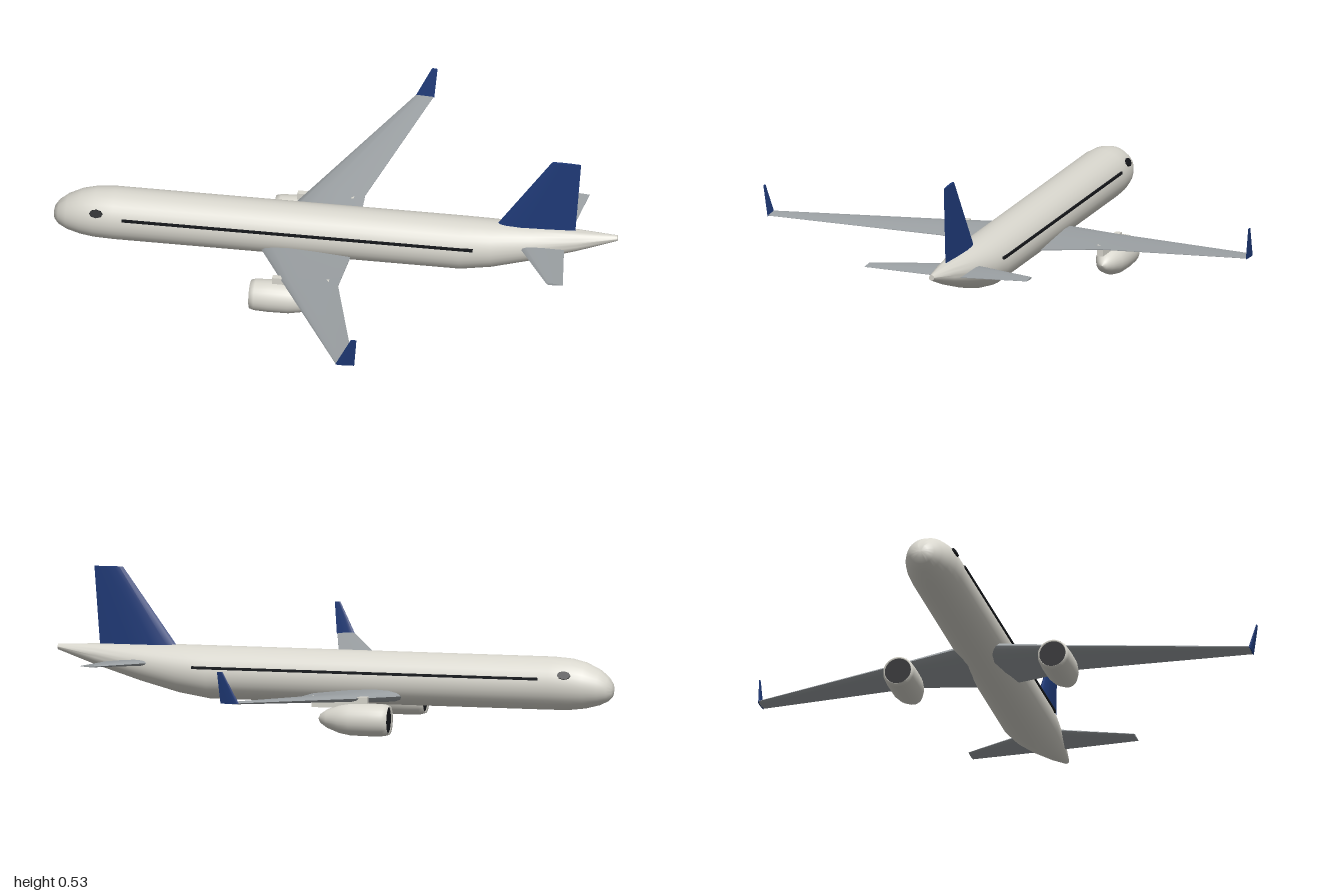
import * as THREE from 'three';
import { toCreasedNormals } from 'three/addons/utils/BufferGeometryUtils.js';

const mat = (name, color) => new THREE.MeshStandardMaterial({ name, color });

// Skin a closed surface over equal-length rings of [x, y, z]; winding is turned outward.
function loft(rings, crease = 0.7) {
  const n = rings[0].length, pos = rings.flat(2), idx = [];
  for (let r = 0; r < rings.length - 1; r++) {
    for (let i = 0; i < n; i++) {
      const a = r * n + i, b = r * n + (i + 1) % n;
      idx.push(a, b, a + n, b, b + n, a + n);
    }
  }
  const last = (rings.length - 1) * n;
  for (let i = 1; i < n - 1; i++) idx.push(0, i + 1, i, last, last + i, last + i + 1);
  const p = (i) => new THREE.Vector3().fromArray(pos, i * 3);
  let volume = 0;
  for (let i = 0; i < idx.length; i += 3) volume += p(idx[i]).dot(p(idx[i + 1]).cross(p(idx[i + 2])));
  if (volume < 0) idx.reverse();
  const geo = new THREE.BufferGeometry();
  geo.setAttribute('position', new THREE.Float32BufferAttribute(pos, 3));
  geo.setIndex(idx);
  return toCreasedNormals(geo, crease);
}

// Aerofoil outline as [chord fraction, thickness fraction]
const upper = [[0.03, 0.25], [0.12, 0.43], [0.3, 0.5], [0.6, 0.36]];
const FOIL = [[0, 0], ...upper, [1, 0.04], [1, -0.04],
  ...upper.slice().reverse().map(([c, t]) => [c, -t])];

// Horizontal section (wing, tailplane) and upright section (fin, winglet)
const flatFoil = (x0, x1, y, z, t) => FOIL.map(([c, h]) => [x0 + c * (x1 - x0), y + h * t, z]);
const uprightFoil = (x0, x1, y, z, t) => FOIL.map(([c, h]) => [x0 + c * (x1 - x0), y, z + h * t]);

export function createModel() {
  const model = new THREE.Group();
  model.name = 'airliner';
  const white = mat('fuselage white', 0xd9d7ce);
  const grey = mat('wing grey', 0x9ca1a4);
  const blue = mat('tail blue', 0x1f3a78);
  const dark = mat('dark glass', 0x15171b);
  const add = (name, geo, material, parent = model) => {
    const mesh = new THREE.Mesh(geo, material);
    mesh.name = name;
    parent.add(mesh);
    return mesh;
  };

  // Fuselage stations: x, top, bottom, half width
  const stations = [
    [-1, 0.153, 0.147, 0.003], [-0.995, 0.176, 0.127, 0.025], [-0.98, 0.197, 0.111, 0.045],
    [-0.95, 0.221, 0.096, 0.064], [-0.9, 0.245, 0.083, 0.081], [-0.85, 0.257, 0.077, 0.09],
    [-0.78, 0.262, 0.075, 0.094], [0.45, 0.262, 0.075, 0.094], [0.56, 0.262, 0.093, 0.086],
    [0.7, 0.26, 0.13, 0.066], [0.86, 0.256, 0.18, 0.038], [1, 0.25, 0.23, 0.01],
  ];
  const SIDES = 32;
  add('fuselage', loft(stations.map(([x, top, bottom, w]) =>
    Array.from({ length: SIDES }, (_, i) => {
      const a = (i / SIDES) * Math.PI * 2;
      return [x, (top + bottom) / 2 + Math.sin(a) * (top - bottom) / 2, Math.cos(a) * w];
    }))), white);

  // Tail fin
  add('tailFin', loft([
    uprightFoil(0.53, 0.845, 0.2, 0, 0.036),
    uprightFoil(0.575, 0.85, 0.26, 0, 0.032),
    uprightFoil(0.767, 0.87, 0.53, 0, 0.01),
  ]), blue);

  for (const s of [1, -1]) {
    const side = new THREE.Group();
    side.name = s > 0 ? 'leftSide' : 'rightSide';
    model.add(side);

    // Swept wing with a kinked trailing edge
    add('wing', loft([
      flatFoil(-0.288, 0.065, 0.108, 0, 0.05),
      flatFoil(-0.243, 0.063, 0.116, s * 0.094, 0.045),
      flatFoil(-0.144, 0.056, 0.134, s * 0.3, 0.028),
      flatFoil(0.14, 0.205, 0.19, s * 0.888, 0.009),
    ]), grey, side);
    add('winglet', loft([
      uprightFoil(0.14, 0.207, 0.187, s * 0.888, 0.008),
      uprightFoil(0.197, 0.217, 0.3, s * 0.9, 0.004),
    ]), blue, side);

    // Tailplane
    add('tailplane', loft([
      flatFoil(0.63, 0.81, 0.196, 0, 0.026),
      flatFoil(0.795, 0.853, 0.217, s * 0.3, 0.007),
    ]), grey, side);

    // Engine: nacelle with tapered tail, intake face and pylon
    const engine = new THREE.Group();
    engine.name = 'engine';
    engine.position.set(0, 0.058, s * 0.28);
    side.add(engine);
    const profile = [[0.046, -0.25], [0.051, -0.258], [0.056, -0.24], [0.058, -0.19], [0.057, -0.12],
      [0.05, -0.08], [0.033, -0.035], [0.016, -0.01], [0, -0.002]].map(([r, y]) => new THREE.Vector2(r, y));
    add('nacelle', new THREE.LatheGeometry(profile, 28).rotateZ(-Math.PI / 2), white, engine);
    add('intake', new THREE.CircleGeometry(0.049, 28).rotateY(-Math.PI / 2).translate(-0.252, 0, 0), dark, engine);
    add('pylon', new THREE.BoxGeometry(0.2, 0.04, 0.022).translate(-0.08, 0.06, 0), white, engine);

    // Cabin window band and cockpit window
    add('cabinWindows', new THREE.BoxGeometry(1.245, 0.009, 0.009).translate(-0.123, 0.194, s * 0.0905), dark, side);
    const pane = new THREE.CylinderGeometry(1, 1, 0.009, 8).rotateX(Math.PI / 2).scale(0.024, 0.015, 1);
    const cockpit = add('cockpitWindow', pane, dark, side);
    cockpit.position.set(-0.838, 0.208, s * 0.0825);
    cockpit.rotation.set(-s * 0.42, -s * 0.1, 0);
  }
  return model;
}
